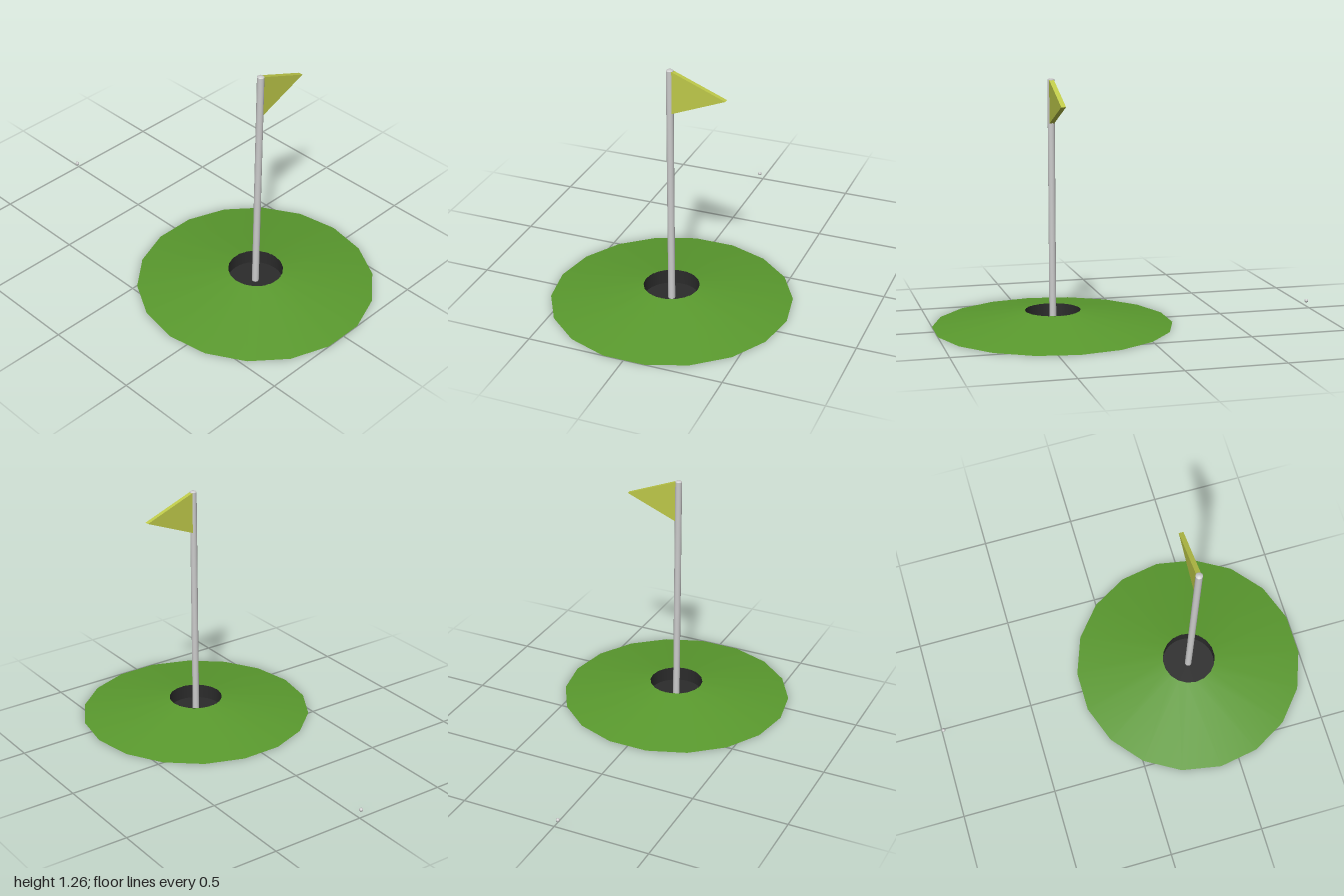
import * as THREE from 'three';

const CENTRE_Z = 0.396;

function addPart(parent, name, geometry, color, extra = {}) {
  const mesh = new THREE.Mesh(geometry, new THREE.MeshStandardMaterial({ color, ...extra }));
  mesh.name = name;
  parent.add(mesh);
  return mesh;
}

// Open surface of revolution from [radius, y] pairs, with corners on the x axis
function lathe(points, sides) {
  const profile = points.map(([r, y]) => new THREE.Vector2(r, y));
  return new THREE.LatheGeometry(profile, sides, Math.PI / 2);
}

export function createModel() {
  const group = new THREE.Group();
  const hole = new THREE.Group();
  hole.name = 'golfHole';
  hole.position.z = CENTRE_Z;
  group.add(hole);

  // Sloping green: a thin open shell around the cup
  addPart(hole, 'green', lathe([[0.613, 0], [0.142, 0.077]], 18), 0x5a9a2e,
    { side: THREE.DoubleSide });

  // Cup wall and floor, open at the top
  addPart(hole, 'cupWall', lathe([[0.142, 0], [0.142, 0.077]], 36), 0x2b2b2b,
    { side: THREE.DoubleSide });
  const floor = addPart(hole, 'cupFloor', new THREE.CircleGeometry(0.142, 36), 0x2b2b2b,
    { side: THREE.DoubleSide });
  floor.rotation.x = -Math.PI / 2;

  // Pole with a slightly domed top
  addPart(hole, 'pole', lathe([[0.018, 0.001], [0.018, 1.25]], 16), 0xcccccc);
  addPart(hole, 'poleCap', lathe([[0.018, 1.25], [0.012, 1.255], [0, 1.257]], 16), 0xcccccc);

  // Triangular pennant flying to +x
  const pennant = new THREE.Shape([
    new THREE.Vector2(0.01, 1.03),
    new THREE.Vector2(0.285, 1.14),
    new THREE.Vector2(0.01, 1.25),
  ]);
  const thickness = 0.024;
  const flag = new THREE.ExtrudeGeometry(pennant, { depth: thickness, bevelEnabled: false });
  flag.translate(0, 0, -thickness / 2);
  addPart(hole, 'flag', flag, 0xbfca4a);

  // Small ball far behind the green
  const ball = addPart(group, 'ball', new THREE.SphereGeometry(0.01, 16, 12), 0xcccccc);
  ball.position.set(-0.016, 0.036, -0.99);

  return group;
}
